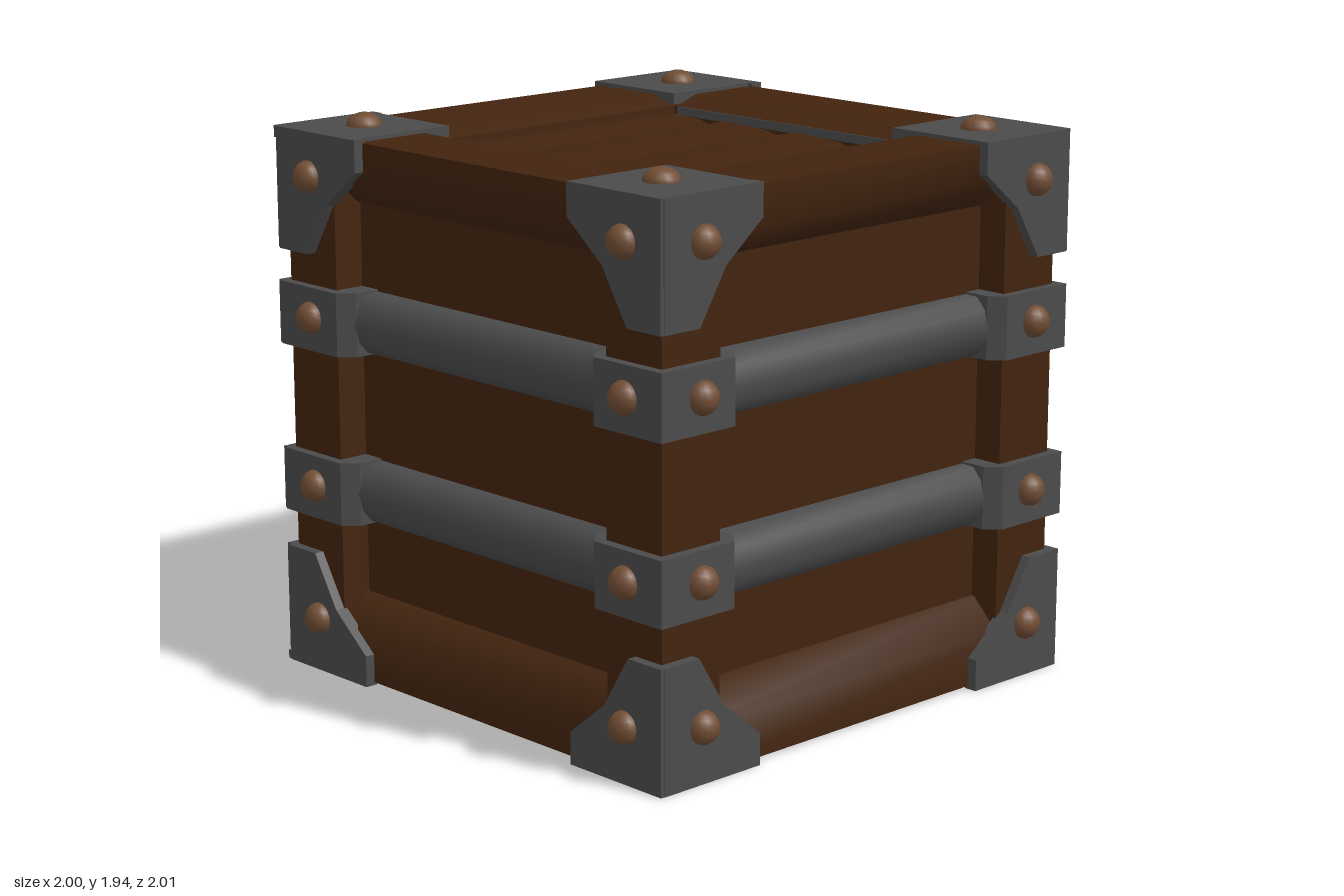
import * as THREE from 'three';
import { toCreasedNormals } from 'three/addons/utils/BufferGeometryUtils.js';

const H = 0.91;    // half width of the wooden body
const O = 0.945;   // half width over the metal fittings
const TOP = 1.88;  // top of the wood

const material = (name, color) => {
  const m = new THREE.MeshStandardMaterial({ color });
  m.name = name;
  return m;
};

export function createModel() {
  const wood = material('dark wood', 0x42240f);
  const metal = material('dark iron', 0x4b4b4b);
  const copper = material('rivet copper', 0x704d34);
  const model = new THREE.Group();
  model.name = 'crate';

  const add = (parent, name, geometry, mat, x = 0, y = 0, z = 0) => {
    const mesh = new THREE.Mesh(geometry, mat);
    mesh.name = name;
    mesh.position.set(x, y, z);
    parent.add(mesh);
    return mesh;
  };
  const group = (name, x, z, turn) => {
    const g = new THREE.Group();
    g.name = name;
    g.position.set(x, 0, z);
    g.rotation.y = turn;
    model.add(g);
    return g;
  };
  const box = (w, h, d) => new THREE.BoxGeometry(w, h, d);
  const extrude = (points, depth) => new THREE.ExtrudeGeometry(
    new THREE.Shape(points.map(([a, b]) => new THREE.Vector2(a, b))), { depth, bevelEnabled: false });
  // (z, y) profile run along x, centred, with soft bevels
  const alongX = (points, length) => toCreasedNormals(
    extrude(points, length).rotateY(-Math.PI / 2).translate(length / 2, 0, 0), 1.1);
  // (x, z) outline raised from y = 0 to height
  const alongY = (points, height) =>
    extrude(points, height).rotateX(Math.PI / 2).translate(0, height, 0);
  const dome = new THREE.SphereGeometry(1, 16, 10);
  const rivet = (parent, x, y, z, rx, ry, rz) =>
    add(parent, 'rivet', dome, copper, x, y, z).scale.set(rx, ry, rz);

  // Bevelled rails, thicker at the top
  const topRail = alongX([[H, TOP], [H, 1.74], [H - 0.1, 1.65], [H - 0.37, 1.65],
    [H - 0.37, 1.845], [H - 0.28, TOP]], 1.6);
  const bottomRail = alongX([[H, 0.01], [H, 0.18], [H - 0.1, 0.28], [H - 0.25, 0.28],
    [H - 0.25, 0.01]], 1.6);

  // Rounded strap in the recess, and the thick clamp over each post
  const strap = alongX([[0.78, 0.215], [0.85, 0.21], [0.885, 0.17], [0.9, 0.11], [0.885, 0.05],
    [0.85, 0.01], [0.78, 0.005]], 1.28);
  const clamp = (s) => alongY([[s * O, O], [s * 0.64, O], [s * 0.595, 0.895], [s * 0.595, 0.8], [s * O, 0.8]], 0.22);

  // Outline of a corner plate, measured inwards from the corner
  const plateOutline = [[0, 0], [0.42, 0], [0.42, 0.11], [0.26, 0.24], [0.15, 0.42], [0, 0.42]];

  // The back and right walls sit slightly further out
  const offsets = [0, 0, 0.02, 0.01];
  const names = ['front', 'left', 'back', 'right'];

  for (let k = 0; k < 4; k++) {
    const turn = k * Math.PI / 2;
    const out = offsets[k], next = offsets[(k + 1) % 4];
    const side = group(names[k] + 'Side', Math.sin(turn) * out, Math.cos(turn) * out, turn);

    add(side, 'sidePanel', box(1.4, 1.45, 0.04), wood, 0, 0.965, 0.78);
    add(side, 'topRail', topRail, wood);
    add(side, 'bottomRail', bottomRail, wood);

    for (const y of [0.55, 1.14]) {
      add(side, 'strap', strap, metal, 0, y, 0);
      for (const s of [-1, 1]) {
        add(side, 'strapClamp', clamp(s), metal, 0, y, 0);
        rivet(side, s * 0.78, y + 0.115, O, 0.056, 0.056, 0.05);
      }
    }

    for (const s of [-1, 1]) {
      for (const [y, dir] of [[0, 1], [1.893, -1]]) {
        const outline = plateOutline.map(([a, b]) => [s * (O - 0.003 - a), y + dir * b]);
        add(side, 'cornerPlate', extrude(outline, 0.047), metal, 0, 0, O - 0.047);
        rivet(side, s * 0.775, y ? 1.74 : 0.19, O, 0.056, 0.056, 0.05);
      }
    }

    // Thin iron trim around the bottom opening
    add(side, 'bottomTrim', box(1.33, 0.03, 0.015), metal, 0, 0.02, 0.66);

    // Corner between this side and the next, moved out with both
    const corner = group(names[k] + 'Corner',
      Math.sin(turn) * out + Math.cos(turn) * next,
      Math.cos(turn) * out - Math.sin(turn) * next, turn);
    add(corner, 'cornerPost', box(0.25, TOP - 0.01, 0.25), wood, H - 0.125, (TOP + 0.01) / 2, H - 0.125);
    add(corner, 'cornerCap', box(0.42, 0.04, 0.42), metal, O - 0.213, 1.873, O - 0.213);
    rivet(corner, 0.72, 1.893, 0.73, 0.062, 0.045, 0.062);
    const c = O - 0.003;
    add(corner, 'cornerFoot', alongY([[c, c], [c - 0.42, c], [c, c - 0.42]], 0.03), metal);
  }

  // Lid boards with shallow grooves between them
  const lid = [[0.6, 1.68], [0.6, 1.81]];
  for (const z of [0.32, -0.03, -0.37]) lid.push([z + 0.08, 1.82], [z, 1.795], [z - 0.06, 1.81]);
  lid.push([-0.6, 1.82], [-0.6, 1.68]);
  add(model, 'lidBoards', alongX(lid, 1.2), wood);
  for (const s of [-1, 1]) add(model, 'lidTrim', box(0.012, 0.03, 1.06), metal, s * 0.54, 1.83, -0.01);

  // Floor set up inside the bottom frame
  add(model, 'floor', box(1.4, 0.04, 1.4), wood, 0, 0.15, 0);

  return model;
}
